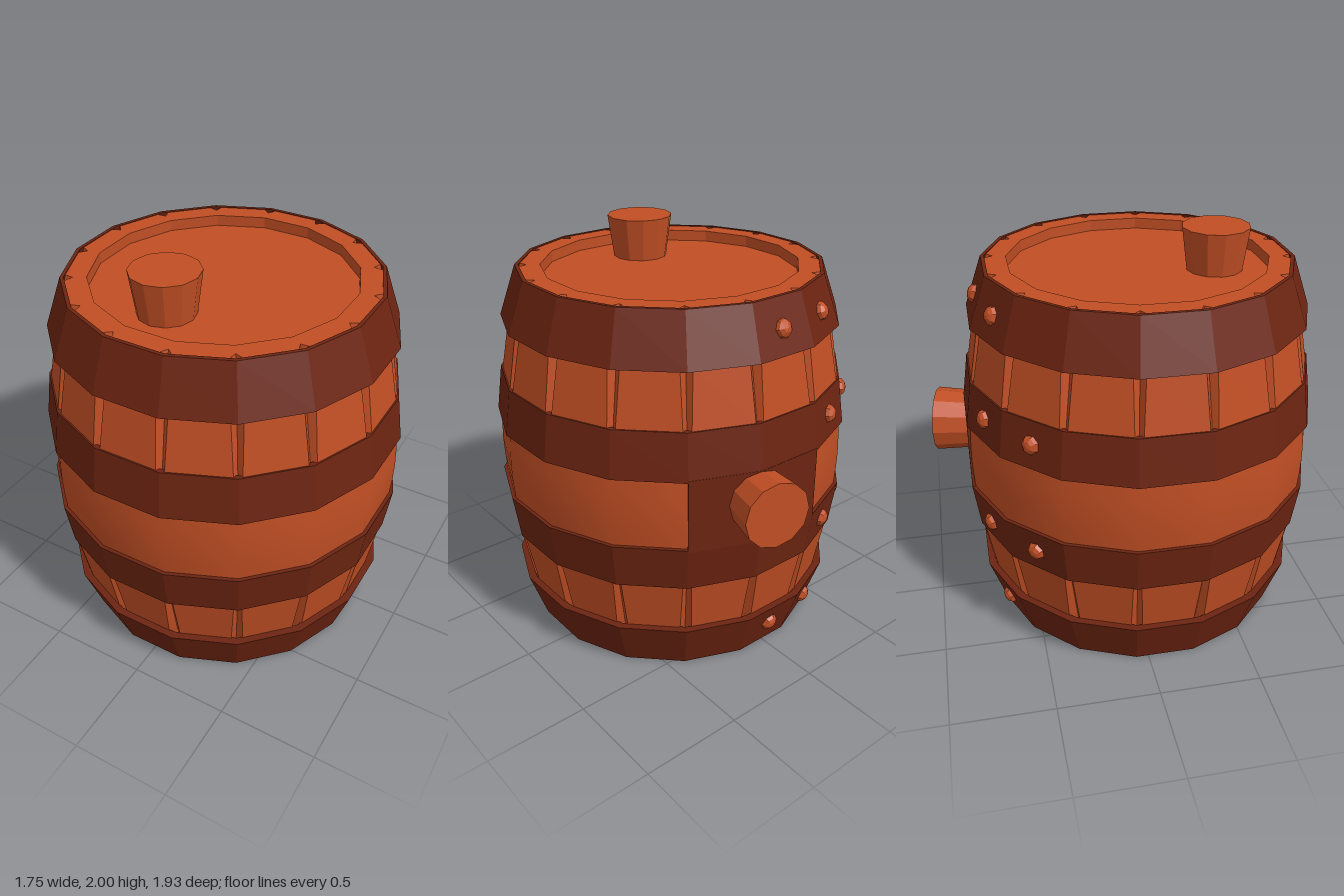
import * as THREE from 'three';

const SIDES = 16;
const STEP = (Math.PI * 2) / SIDES;
const HALF = STEP / 2;
const corner = (ext) => ext / Math.cos(HALF); // flat-to-centre distance -> corner radius

// Half-height stave profile: [height, flat-to-centre distance, groove half width, groove depth]
const lower = [[0.005, 0.722, 0.028, 0.04], [0.25, 0.79, 0.028, 0.04], [0.52, 0.838, 0.02, 0.03], [0.75, 0.852, 0.01, 0.012]];
const rings = [...lower, ...lower.map(([y, ...rest]) => [1.85 - y, ...rest]).reverse()];

function flat(geometry) {
  const g = geometry.index ? geometry.toNonIndexed() : geometry;
  g.computeVertexNormals();
  return g;
}

// Sixteen-sided turned shape; points are [flat-to-centre distance, y]
function turned(points) {
  const profile = points.map(([e, y]) => new THREE.Vector2(corner(e), y));
  return new THREE.LatheGeometry(profile, SIDES, HALF);
}

// Sixteen-sided outline with a V groove at each corner
function outline([, ext, w, d]) {
  const R = corner(ext), delta = w / R, points = [];
  for (let k = 0; k < SIDES; k++) {
    const phi = HALF + k * STEP;
    const edge = ext / Math.cos(HALF - delta);
    for (const [a, r] of [[phi - delta, edge], [phi, R - d], [phi + delta, edge]]) {
      points.push(new THREE.Vector2(r * Math.sin(a), r * Math.cos(a)));
    }
  }
  return points;
}

function staveWall() {
  const positions = [], index = [], n = SIDES * 3;
  for (const ring of rings) for (const p of outline(ring)) positions.push(p.x, ring[0], p.y);
  for (let j = 0; j < rings.length - 1; j++) {
    for (let i = 0; i < n; i++) {
      const a = j * n + i, b = j * n + (i + 1) % n;
      index.push(a, b, a + n, b, b + n, a + n);
    }
  }
  const g = new THREE.BufferGeometry();
  g.setAttribute('position', new THREE.Float32BufferAttribute(positions, 3));
  g.setIndex(index);
  return flat(g);
}

// Notched end of the staves around the recessed lid
function rimFace() {
  const shape = new THREE.Shape(outline(rings[0]));
  const hole = [];
  for (let k = 0; k < SIDES; k++) {
    const a = HALF + k * STEP, r = corner(0.62);
    hole.push(new THREE.Vector2(r * Math.sin(a), r * Math.cos(a)));
  }
  shape.holes.push(new THREE.Path(hole));
  return new THREE.ShapeGeometry(shape);
}

export function createModel() {
  const wood = new THREE.MeshStandardMaterial({ color: 0xc04e24 });
  wood.name = 'orange wood';
  const dark = new THREE.MeshStandardMaterial({ color: 0x6c2411 });
  dark.name = 'dark brown bands';

  const model = new THREE.Group();
  model.name = 'barrel';
  const body = new THREE.Group();
  body.name = 'body';
  body.position.z = 0.085;
  model.add(body);

  const add = (name, geometry, material) => {
    const mesh = new THREE.Mesh(geometry, material);
    mesh.name = name;
    body.add(mesh);
    return mesh;
  };

  // Staves and the smooth belly between the middle bands
  add('staves', staveWall(), wood);
  add('belly', turned([[0.858, 0.74], [0.865, 0.83], [0.868, 0.925], [0.865, 1.02], [0.858, 1.11]]), wood);

  // Rims and recessed lids
  add('topRim', rimFace().rotateX(-Math.PI / 2), wood).position.y = 1.845;
  add('bottomRim', rimFace().rotateX(Math.PI / 2), wood).position.y = 0.005;
  add('topLid', flat(turned([[0.62, 1.845], [0.62, 1.79], [0, 1.79]])), wood);
  add('bottomLid', flat(turned([[0, 0.06], [0.62, 0.06], [0.62, 0.005]])), wood);

  // Bands: [bottom y, outer, inner, top y, outer, inner]
  const bands = [
    ['bottomBand', 0, 0.74, 0.722, 0.25, 0.825, 0.785],
    ['lowerMiddleBand', 0.52, 0.845, 0.82, 0.75, 0.877, 0.85],
    ['upperMiddleBand', 1.1, 0.877, 0.85, 1.33, 0.845, 0.82],
    ['topBand', 1.6, 0.825, 0.785, 1.848, 0.74, 0.722],
  ];
  for (const [name, y0, out0, in0, y1, out1, in1] of bands) {
    add(name, flat(turned([[in0, y0], [out0, y0], [out1, y1], [in1, y1], [in0, y0]])), dark);
  }

  // Two-faced plate joining the middle bands at the back
  const platePoints = [];
  const plateCorners = [-HALF, HALF, HALF + STEP];
  for (const [ext, list] of [[0.877, plateCorners], [0.83, [...plateCorners].reverse()]]) {
    for (const a of list) {
      platePoints.push(new THREE.Vector2(corner(ext) * Math.sin(a), corner(ext) * Math.cos(a)));
    }
  }
  const plate = new THREE.ExtrudeGeometry(new THREE.Shape(platePoints), { depth: 0.37, bevelEnabled: false });
  add('backPlate', plate.rotateX(-Math.PI / 2), dark).position.y = 0.74;

  // Tap plug at the back
  const turn = THREE.MathUtils.degToRad(13);
  const plug = add('backPlug', flat(new THREE.CylinderGeometry(0.164, 0.14, 0.3, 12).rotateX(-Math.PI / 2)), wood);
  plug.rotation.y = -turn;
  plug.position.set(0.21 - 0.15 * Math.sin(turn), 0.955, -1.015 + 0.15 * Math.cos(turn));

  // Bung on the lid
  const bung = add('topBung', flat(new THREE.CylinderGeometry(0.165, 0.135, 0.22, 12)), wood);
  bung.position.set(-0.085, 1.89, 0.36);

  // Rivets on the back: [y, flat-to-centre distance, upward tilt, first face]
  const rivet = flat(new THREE.SphereGeometry(0.046, 7, 3, 0, Math.PI * 2, 0, Math.PI / 2)
    .scale(1, 0.75, 1).rotateX(Math.PI / 2));
  const rows = [[0.14, 0.787, -0.33, 0], [0.635, 0.861, -0.14, 1], [1.215, 0.861, 0.14, 1], [1.715, 0.785, 0.33, 0]];
  for (const [y, ext, tilt, first] of rows) {
    for (const face of [first, first + 1]) {
      const phi = Math.PI + face * STEP;
      const mesh = add('rivet', rivet, wood);
      mesh.rotation.set(-tilt, phi, 0, 'YXZ');
      mesh.position.set(ext * Math.sin(phi), y, ext * Math.cos(phi));
    }
  }

  return model;
}
